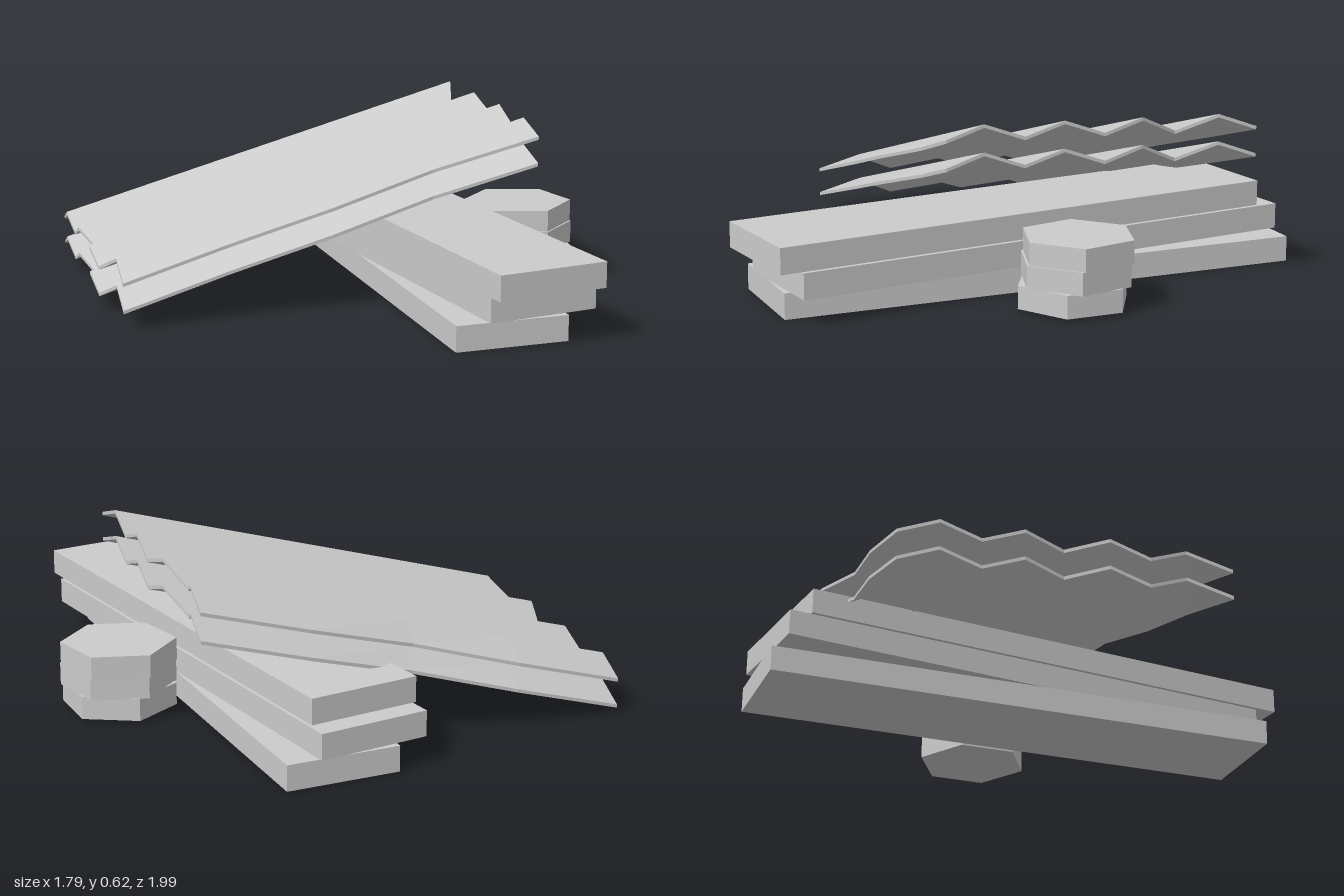
import * as THREE from 'three';

const material = new THREE.MeshStandardMaterial({ color: 0xcccccc, flatShading: true });

function addMesh(parent, name, geometry, x = 0, y = 0, z = 0, turn = 0) {
  const mesh = new THREE.Mesh(geometry, material);
  mesh.name = name;
  mesh.position.set(x, y, z);
  mesh.rotation.y = turn;
  parent.add(mesh);
}

// Ragged outline of a sheet: end positions per fold line, and side nudges along the length
const LEFT_X = [-0.88, -0.865, -0.895, -0.895, -0.845, -0.87, -0.855, -0.855, -0.835];
const RIGHT_X = [0.595, 0.595, 0.61, 0.62, 0.635, 0.635, 0.6, 0.65, 0.67];
const FRONT_NUDGE = [0.02, -0.005, -0.005, -0.042, -0.005];
const BACK_NUDGE = [0.005, 0.007, 0.043, 0.008, 0.005];

// Thin folded sheet, sloping up towards +x with a slight yaw and roll
function corrugatedSheet(thickness) {
  const along = 4, folds = 8;
  const point = (i, j, drop) => {
    const t = i / along;
    const x = THREE.MathUtils.lerp(LEFT_X[j], RIGHT_X[j], t);
    const z = 0.29 + 0.09 * t - 0.14 * j;
    const y = 0.42 + 0.278 * x + 0.045 * z + (j % 2 ? 0.024 : -0.024) - drop;
    const nudge = j === 0 ? FRONT_NUDGE[i] : j === folds ? BACK_NUDGE[i] : 0;
    return [x, y, z + nudge];
  };
  const positions = [];
  const quad = (a, b, c, d) => positions.push(...a, ...b, ...c, ...a, ...c, ...d);

  // Upper and lower skins
  for (let i = 0; i < along; i++) {
    for (let j = 0; j < folds; j++) {
      const corners = [[i, j], [i + 1, j], [i + 1, j + 1], [i, j + 1]];
      quad(...corners.map(([u, v]) => point(u, v, 0)));
      quad(...corners.reverse().map(([u, v]) => point(u, v, thickness)));
    }
  }

  // Rim around the outline
  const rim = [];
  for (let i = 0; i < along; i++) rim.push([i, 0]);
  for (let j = 0; j < folds; j++) rim.push([along, j]);
  for (let i = along; i > 0; i--) rim.push([i, folds]);
  for (let j = folds; j > 0; j--) rim.push([0, j]);
  rim.forEach((a, k) => {
    const b = rim[(k + 1) % rim.length];
    quad(point(...a, thickness), point(...b, thickness), point(...b, 0), point(...a, 0));
  });

  const geometry = new THREE.BufferGeometry();
  geometry.setAttribute('position', new THREE.Float32BufferAttribute(positions, 3));
  geometry.computeVertexNormals();
  return geometry;
}

export function createModel() {
  const model = new THREE.Group();
  model.name = 'scrapPile';

  // Stack of three planks
  const planks = new THREE.Group();
  planks.name = 'plankStack';
  const plank = new THREE.BoxGeometry(0.4, 0.09, 1.88);
  addMesh(planks, 'bottomPlank', plank, 0.283, 0.045, -0.04);
  addMesh(planks, 'middlePlank', plank, 0.283, 0.138, -0.04, 0.12);
  addMesh(planks, 'topPlank', plank, 0.283, 0.23, 0.0375, 0.12);
  model.add(planks);

  // Stack of three hexagonal blocks
  const blocks = new THREE.Group();
  blocks.name = 'hexBlockStack';
  const block = new THREE.CylinderGeometry(0.2, 0.2, 0.08, 6);
  addMesh(blocks, 'bottomBlock', block, 0.695, 0.05, -0.037);
  addMesh(blocks, 'middleBlock', block, 0.7, 0.128, -0.045, 0.2);
  addMesh(blocks, 'topBlock', block, 0.7, 0.206, -0.053, 0.21);
  model.add(blocks);

  // Two corrugated sheets leaning on the planks
  const sheets = new THREE.Group();
  sheets.name = 'corrugatedSheets';
  const sheet = corrugatedSheet(0.012);
  addMesh(sheets, 'upperSheet', sheet);
  addMesh(sheets, 'lowerSheet', sheet, 0, -0.095, 0);
  model.add(sheets);

  return model;
}
